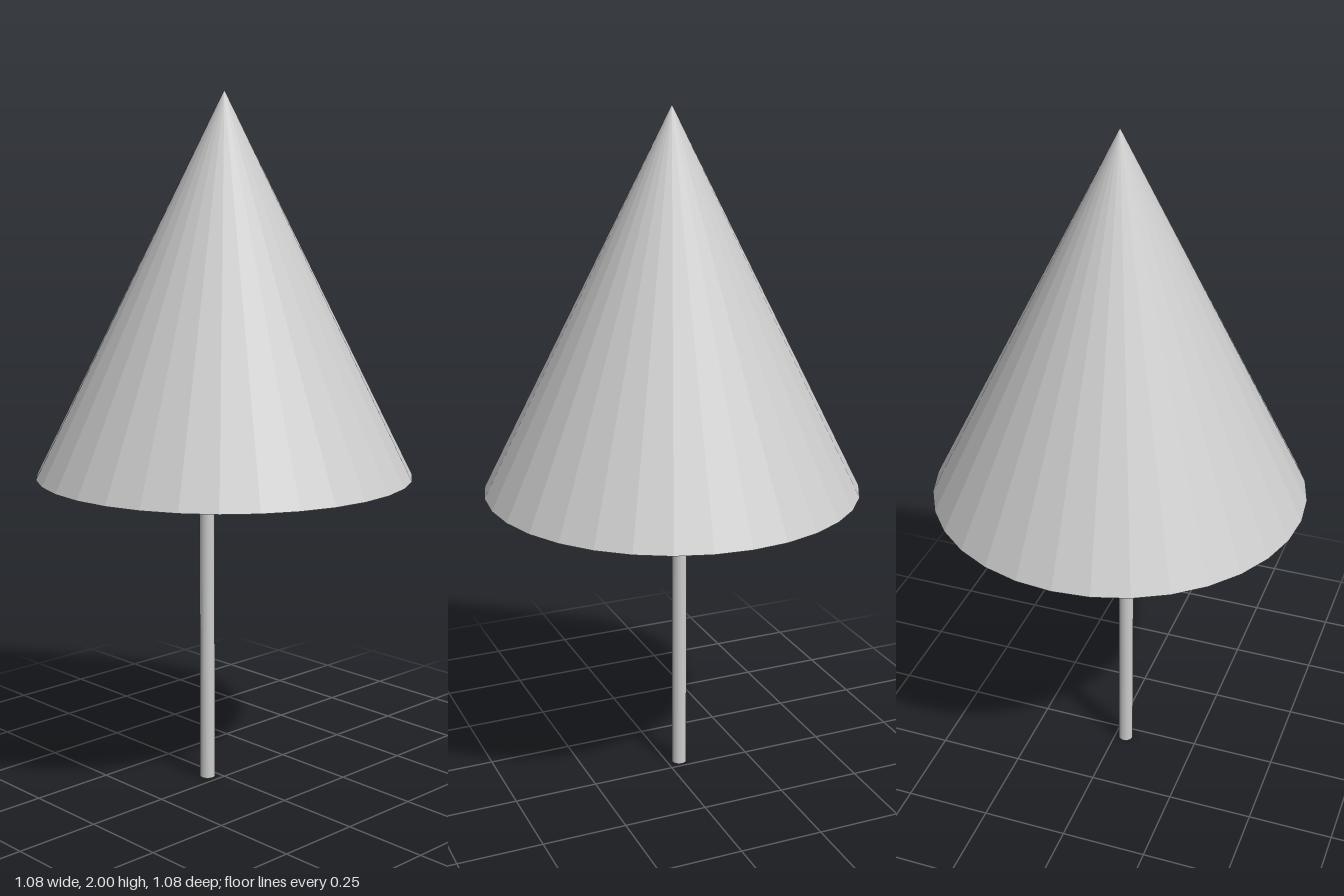
import * as THREE from 'three';

export function createModel() {
  const group = new THREE.Group();
  const material = new THREE.MeshStandardMaterial({ color: 0xcccccc, flatShading: true });
  const baseY = 0.92, height = 2 - baseY, sides = 32;

  // Conical crown with a closed underside
  const crown = new THREE.Mesh(new THREE.ConeGeometry(0.54, height, sides), material);
  crown.name = 'crown';
  crown.position.y = baseY + height / 2;
  group.add(crown);

  // Thin trunk, set slightly off the axis
  const trunk = new THREE.Mesh(new THREE.CylinderGeometry(0.022, 0.022, baseY, sides), material);
  trunk.name = 'trunk';
  trunk.position.set(-0.038, baseY / 2, 0.033);
  group.add(trunk);

  return group;
}
